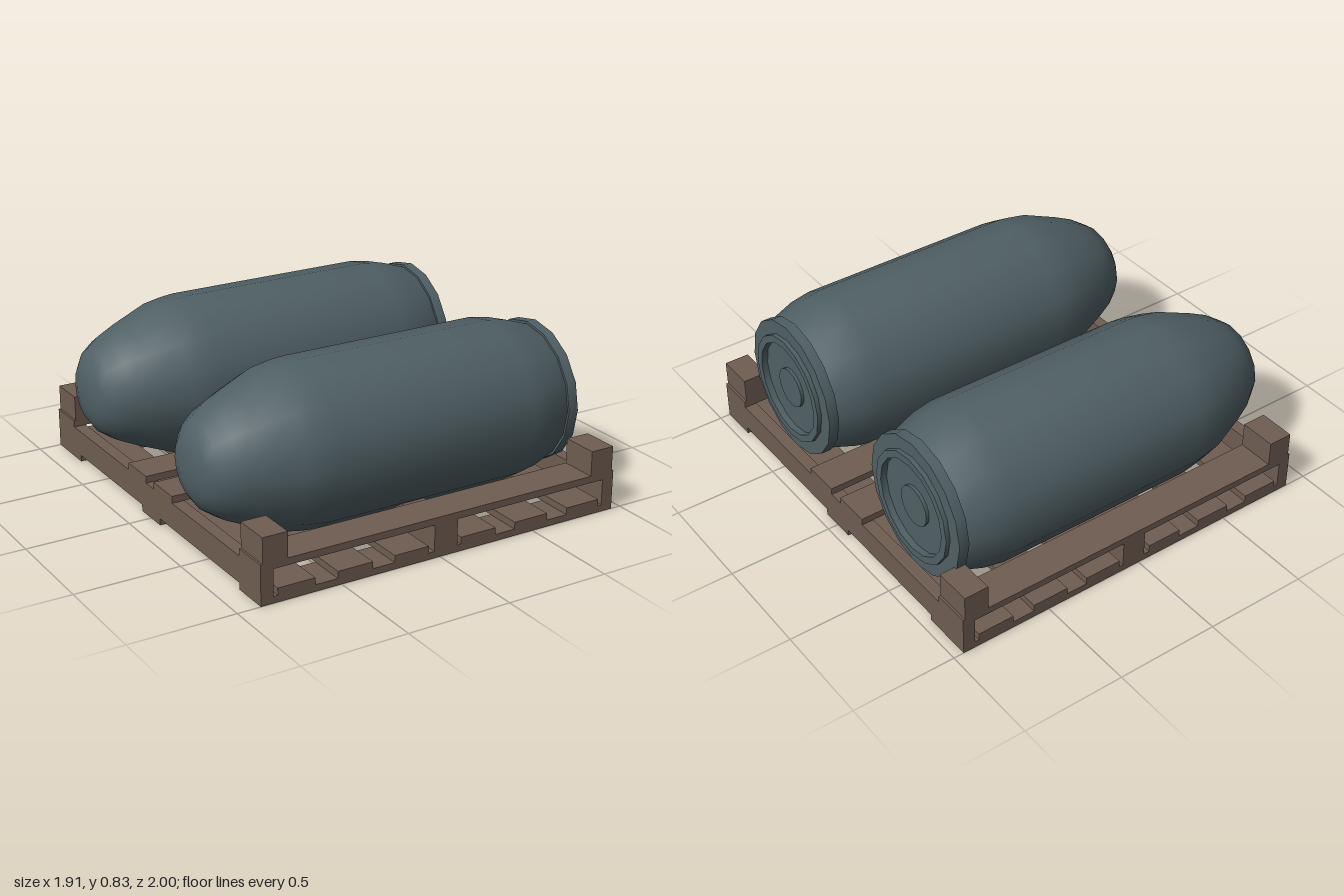
import * as THREE from 'three';
import { toCreasedNormals } from 'three/addons/utils/BufferGeometryUtils.js';

const steel = new THREE.MeshStandardMaterial({ color: 0x506065 });
steel.name = 'slate steel';
const wood = new THREE.MeshStandardMaterial({ color: 0x6f5d52 });
wood.name = 'brown wood';

// Box given by its minimum and maximum on each axis
function plank(parent, name, [x0, x1], [y0, y1], [z0, z1]) {
  const mesh = new THREE.Mesh(new THREE.BoxGeometry(x1 - x0, y1 - y0, z1 - z0), wood);
  mesh.position.set((x0 + x1) / 2, (y0 + y1) / 2, (z0 + z1) / 2);
  mesh.name = name;
  parent.add(mesh);
}

function createPallet() {
  const pallet = new THREE.Group();
  pallet.name = 'pallet';
  const length = [-0.89, 0.95];
  const width = [-1, 1];

  // Runners on the ground
  for (const z of [[0.82, 1], [-0.09, 0.09], [-1, -0.755]])
    plank(pallet, 'runner', length, [0, 0.032], z);

  // Low cross slats
  for (const x of [[-0.81, -0.63], [-0.52, -0.345], [-0.235, -0.06], [0.11, 0.295], [0.4, 0.58], [0.69, 0.87]])
    plank(pallet, 'slat', x, [0.032, 0.065], width);

  // Tall cross beams
  for (const x of [[-0.89, -0.83], [-0.03, 0.09], [0.89, 0.95]])
    plank(pallet, 'crossBeam', x, [0.032, 0.157], width);

  // Top boards
  for (const z of [[0.82, 1], [0.035, 0.215], [-0.22, -0.04], [-1, -0.82]])
    plank(pallet, 'topBoard', length, [0.157, 0.19], z);

  // Corner blocks that hold the cylinders in place
  for (const x of [[-0.88, -0.76], [0.82, 0.94]])
    for (const z of [[0.82, 1], [-1, -0.82]])
      plank(pallet, 'cornerBlock', x, [0.19, 0.31], z);
  return pallet;
}

// Profile as [radius, position along x], from the nose to the recessed tail
const profile = [
  [0, -0.96], [0.075, -0.957], [0.14, -0.94], [0.2, -0.9], [0.25, -0.83], [0.29, -0.745],
  [0.36, -0.57], [0.376, -0.48], [0.383, -0.41], [0.383, 0.59], [0.367, 0.69], [0.325, 0.815],
  [0.336, 0.815], [0.336, 0.865], [0.268, 0.865], [0.268, 0.886], [0.232, 0.886],
  [0.232, 0.855], [0.097, 0.855], [0.097, 0.87], [0, 0.87],
].map(([r, x]) => new THREE.Vector2(r, x));

export function createModel() {
  const model = new THREE.Group();
  model.name = 'loadedPallet';
  model.add(createPallet());

  const shell = toCreasedNormals(new THREE.LatheGeometry(profile, 16).rotateZ(-Math.PI / 2), 0.6);
  for (const z of [0.495, -0.525]) {
    const cylinder = new THREE.Mesh(shell, steel);
    cylinder.position.set(0, 0.443, z);
    cylinder.name = 'roundNosedCylinder';
    model.add(cylinder);
  }
  return model;
}
